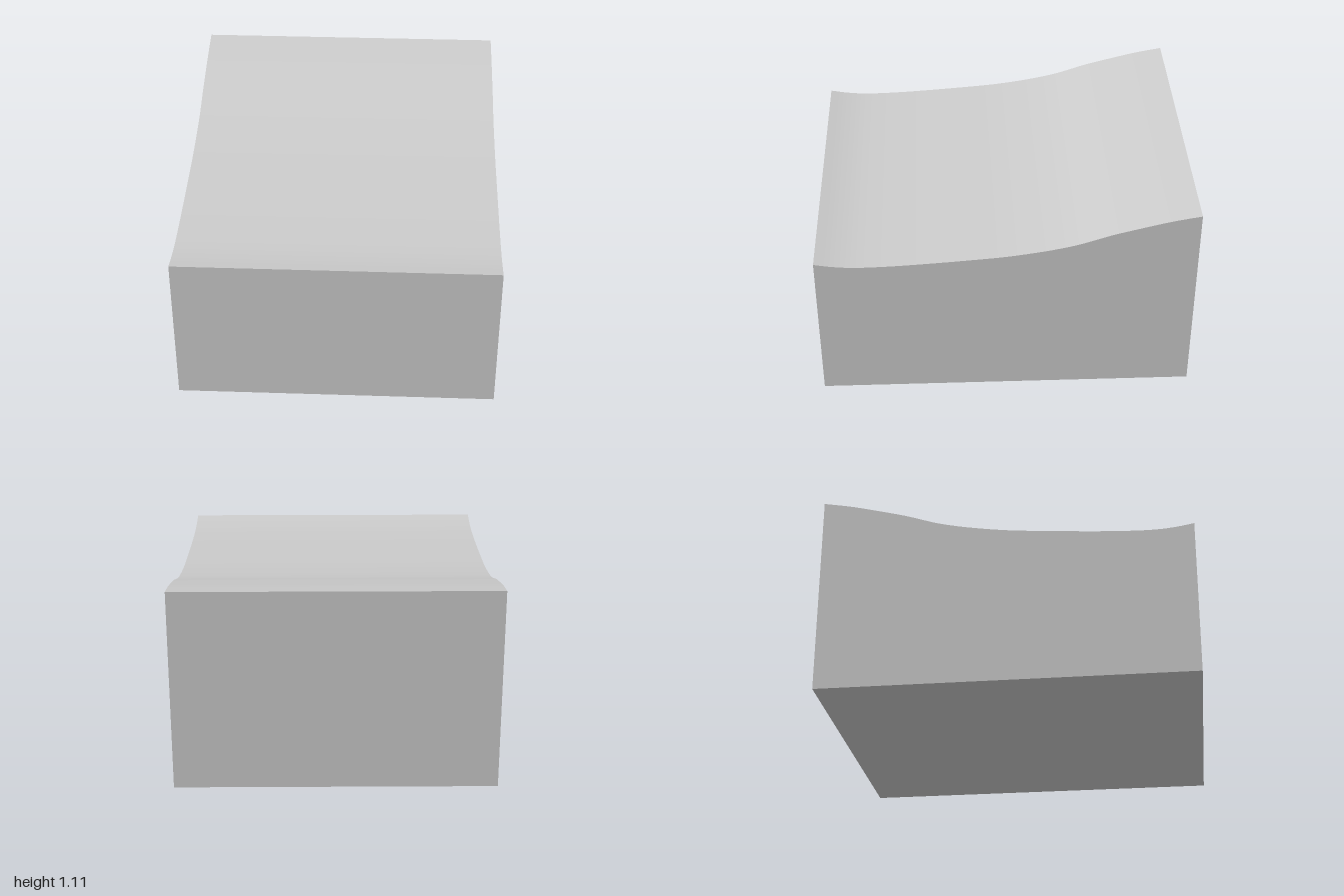
import * as THREE from 'three';
import { toCreasedNormals } from 'three/addons/utils/BufferGeometryUtils.js';

const WIDTH = 1.71;

// Height of the curved top from back to front, as [z, y]
const TOP = [
  [-1, 1.105], [-0.85, 1.077], [-0.7, 1.04], [-0.55, 1.0], [-0.45, 0.967],
  [-0.35, 0.936], [-0.2, 0.904], [0, 0.874], [0.2, 0.856], [0.4, 0.841],
  [0.6, 0.829], [0.78, 0.825], [0.9, 0.834], [1, 0.851],
];

export function createModel() {
  const group = new THREE.Group();
  group.name = 'slopedBlock';

  // Side profile drawn with x = -z, so a quarter turn puts the front at +z
  const points = TOP.map(([z, y]) => new THREE.Vector2(-z, y));
  const profile = new THREE.Shape();
  profile.moveTo(-1, 0);
  profile.lineTo(1, 0);
  profile.lineTo(points[0].x, points[0].y);
  profile.splineThru(points.slice(1));
  profile.closePath();

  // Solid block: smooth across the top, sharp at the edges
  const geometry = new THREE.ExtrudeGeometry(profile, {
    depth: WIDTH, bevelEnabled: false, curveSegments: 4,
  });
  geometry.translate(0, 0, -WIDTH / 2);
  geometry.rotateY(Math.PI / 2);

  const block = new THREE.Mesh(
    toCreasedNormals(geometry, Math.PI / 6),
    new THREE.MeshStandardMaterial({ color: 0xcccccc }),
  );
  block.name = 'curvedTopBlock';
  group.add(block);
  return group;
}
